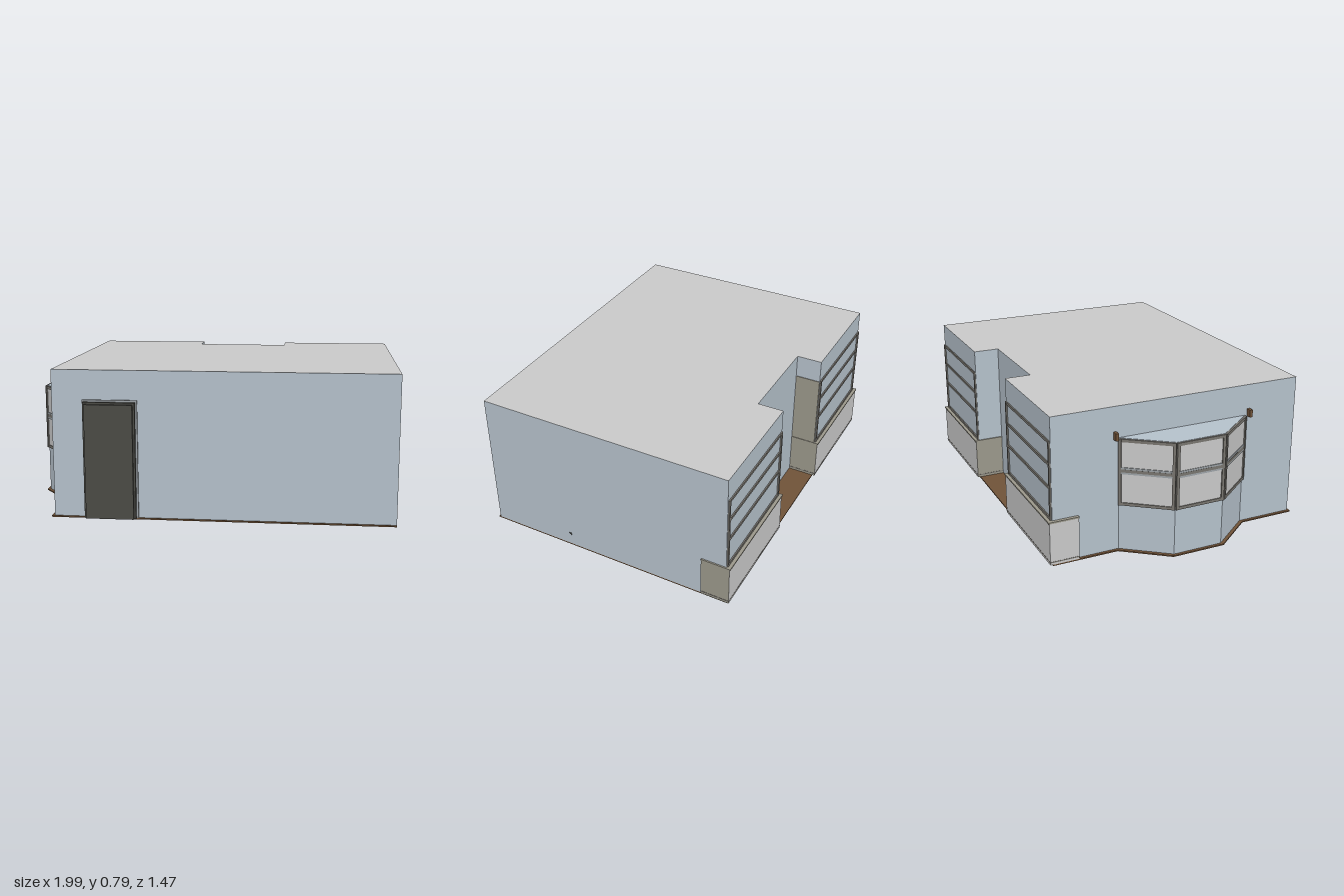
import * as THREE from 'three';

const mat = (name, color) => new THREE.MeshStandardMaterial({ name, color });

export function createModel() {
  const root = new THREE.Group();
  root.name = 'house';
  const blue = mat('wallBlue', 0xb4c0ca);
  const grey = mat('lightGrey', 0xc8c8c8);
  const brown = mat('floorBrown', 0x6f5238);
  const dark = mat('doorDark', 0x4a4a45);
  const tan = mat('panelTan', 0x9a978a);
  const trim = mat('trimGrey', 0x77746e);
  const paleTrim = mat('paleTrim', 0x9ba1a5);

  const add = (parent, name, geometry, material) => {
    const mesh = new THREE.Mesh(geometry, material);
    mesh.name = name;
    parent.add(mesh);
    return mesh;
  };

  // Box given by its limits on each axis
  const box = (parent, name, [x0, x1], [y0, y1], [z0, z1], material) => {
    const mesh = add(parent, name, new THREE.BoxGeometry(x1 - x0, y1 - y0, z1 - z0), material);
    mesh.position.set((x0 + x1) / 2, (y0 + y1) / 2, (z0 + z1) / 2);
    return mesh;
  };

  // Upright prism over a plan of [x, z] points; materials are [caps, sides]
  const prism = (name, plan, y0, y1, materials) => {
    const shape = new THREE.Shape(plan.map(([x, z]) => new THREE.Vector2(x, -z)));
    const g = new THREE.ExtrudeGeometry(shape, { depth: y1 - y0, bevelEnabled: false });
    g.rotateX(-Math.PI / 2).translate(0, y0, 0);
    return add(root, name, g, materials);
  };

  // Frame with crossbars, facing local +z, origin at bottom centre
  const windowFrame = (name, w, h, bars, t, d, frameMat, paneMat) => {
    const g = new THREE.Group();
    g.name = name;
    for (const s of [-1, 1]) {
      const x = s * (w - t) / 2;
      box(g, 'stile', [x - t / 2, x + t / 2], [0, h], [0, d], frameMat);
    }
    for (const y of [t / 2, ...bars, h - t / 2]) {
      box(g, 'rail', [-w / 2 + t, w / 2 - t], [y - t / 2, y + t / 2], [0, d * 0.9], frameMat);
    }
    if (paneMat) box(g, 'pane', [-w / 2 + t, w / 2 - t], [t, h - t], [0, d * 0.5], paneMat);
    root.add(g);
    return g;
  };

  // Floor slab
  prism('floor', [
    [-0.82, 0.7], [0.985, 0.7], [0.985, -0.715], [-0.82, -0.715],
    [-0.82, -0.36], [-0.995, -0.13], [-0.995, 0.165], [-0.82, 0.39],
  ], 0, 0.007, brown);

  // Main walls and flat roof, with a recess in the back
  prism('wallsAndRoof', [
    [-0.805, 0.69], [0.985, 0.69], [0.985, -0.71], [0.35, -0.71],
    [0.35, -0.57], [-0.175, -0.57], [-0.175, -0.71], [-0.805, -0.71],
  ], 0.007, 0.787, [grey, blue]);

  // Bay on the side, with a window on each of its three faces
  const bay = [[-0.805, -0.35], [-0.98, -0.12], [-0.98, 0.155], [-0.805, 0.38]];
  prism('bay', bay, 0.007, 0.62, blue);
  for (let i = 0; i < 3; i++) {
    const [ax, az] = bay[i], [bx, bz] = bay[i + 1];
    const w = Math.hypot(bx - ax, bz - az);
    const f = windowFrame('bayWindow', w, 0.36, [0.19], 0.016, 0.012, trim, grey);
    box(f, 'middleRail', [-w / 2 + 0.016, w / 2 - 0.016], [0.172, 0.208], [0, 0.01], paleTrim);
    f.position.set((ax + bx) / 2, 0.258, (az + bz) / 2);
    f.rotation.y = Math.atan2(-(bz - az), bx - ax);
  }
  // Small brackets beside the bay top
  for (const z of [-0.37, 0.4]) {
    box(root, 'bracket', [-0.835, -0.805], [0.615, 0.655], [z - 0.008, z + 0.008], brown);
  }

  // Low panelled plinths and wide windows on both back wings
  for (const [x0, x1, outer] of [[-0.82, -0.175, -1], [0.35, 0.99, 1]]) {
    const left = outer < 0;
    const p = left ? [x0, x1 + 0.004] : [x0 - 0.004, x1];
    box(root, 'plinth', p, [0.007, 0.235], [-0.73, -0.572],
      [tan, left ? grey : tan, tan, tan, grey, grey]);
    box(root, 'plinthLedge', [p[0] - 0.003, p[1] + 0.003], [0.235, 0.243], [-0.735, -0.572], tan);
    box(root, 'plinthLine', [p[0] - 0.001, p[1] + 0.001], [0.018, 0.024], [-0.731, -0.572], trim);
    const a = left ? -0.8 : 0.355, b = left ? -0.18 : 0.98;
    const f = windowFrame('backWindow', b - a, 0.42, [0.17, 0.295], 0.014, 0.008, trim, null);
    f.position.set((a + b) / 2, 0.243, -0.71);
    f.rotation.y = Math.PI;
  }
  // Upper panel on one side of the recess
  box(root, 'recessPanel', [-0.176, -0.171], [0.243, 0.66], [-0.71, -0.572], tan);

  // Front door in stepped layers
  box(root, 'doorFrame', [-0.642, -0.354], [0.007, 0.632], [0.69, 0.7], paleTrim);
  box(root, 'doorSurround', [-0.637, -0.364], [0.007, 0.622], [0.7, 0.718], dark);
  box(root, 'doorLeaf', [-0.627, -0.374], [0.007, 0.612], [0.718, 0.733], dark);

  // Little tap on the side wall
  const tapPath = new THREE.CatmullRomCurve3([
    new THREE.Vector3(0.984, 0.07, 0.21), new THREE.Vector3(0.99, 0.085, 0.212),
    new THREE.Vector3(0.997, 0.092, 0.216),
  ]);
  add(root, 'tap', new THREE.TubeGeometry(tapPath, 6, 0.003, 6), dark);

  return root;
}
